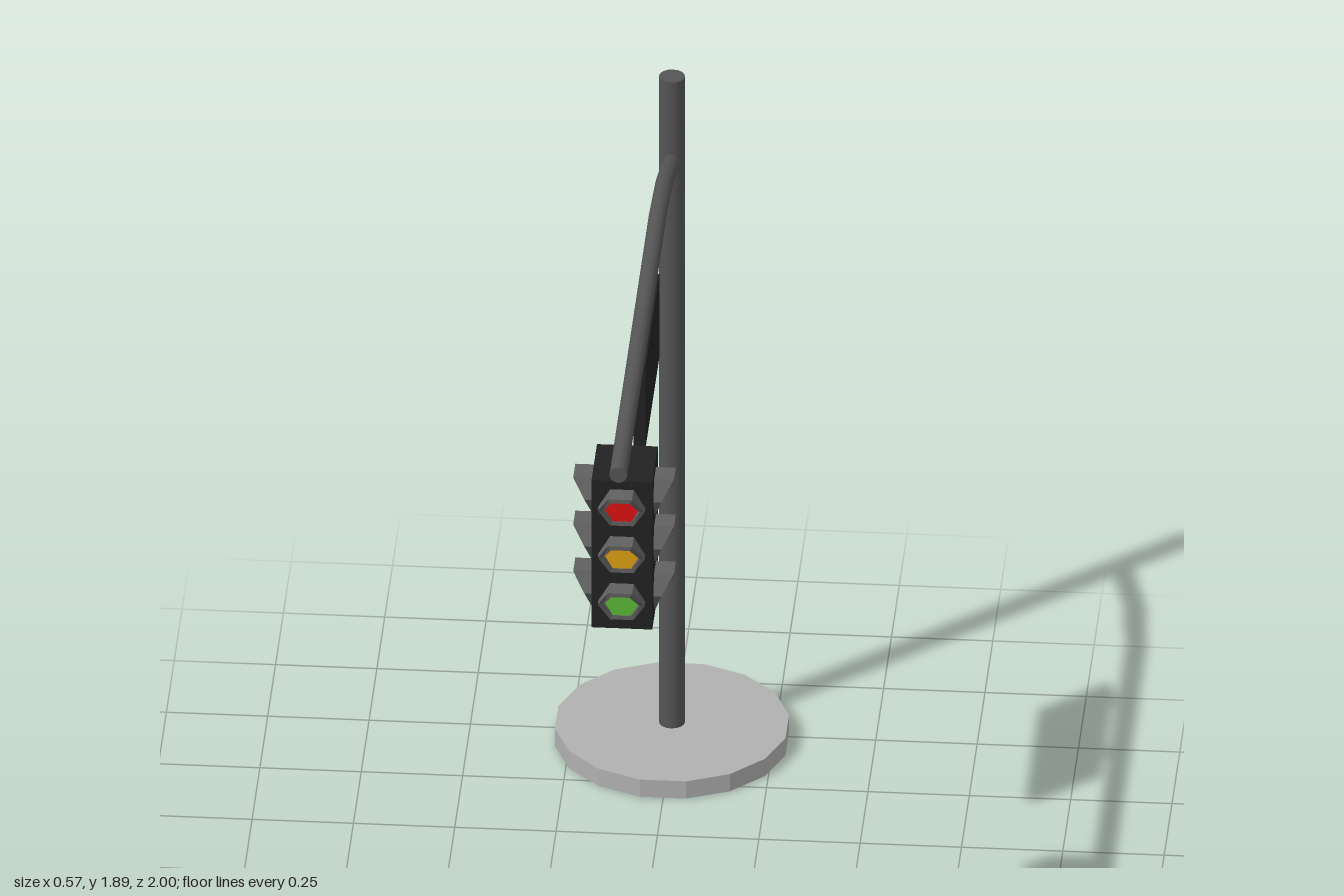
import * as THREE from 'three';

const material = (color, side = THREE.FrontSide) =>
  new THREE.MeshStandardMaterial({ color, side });
const flat = (color, side) => {
  const m = material(color, side);
  m.flatShading = true;
  return m;
};

// Piecewise-straight curve whose samples fall exactly on the corner points
class Polyline extends THREE.Curve {
  constructor(points) { super(); this.points = points; }
  getPoint(t, target = new THREE.Vector3()) {
    const n = this.points.length - 1;
    const i = Math.min(Math.floor(t * n), n - 1);
    return target.lerpVectors(this.points[i], this.points[i + 1], t * n - i);
  }
  getPointAt(t, target) { return this.getPoint(t, target); }
  getTangentAt(t, target) { return this.getTangent(t, target); }
}

// Hexagonal rim whose upper half reaches forward as a visor
function visorGeometry() {
  const outer = 0.058, inner = 0.045;
  const depth = [0.02, 0.049, 0.049, 0.02, 0.005, 0.005];
  const pos = [];
  const corner = (i, r, z) => {
    const a = (i % 6) * Math.PI / 3;
    return [r * Math.cos(a), r * Math.sin(a), z];
  };
  const quad = (a, b, c, d) => pos.push(...a, ...b, ...c, ...a, ...c, ...d);
  for (let i = 0; i < 6; i++) {
    const j = i + 1, zi = depth[i], zj = depth[j % 6];
    const oi = corner(i, outer, zi), oj = corner(j, outer, zj);
    const ii = corner(i, inner, zi), ij = corner(j, inner, zj);
    quad(corner(i, outer, 0), corner(j, outer, 0), oj, oi); // outside
    quad(oi, oj, ij, ii);                                   // front lip
    quad(ii, ij, corner(j, inner, 0), corner(i, inner, 0)); // inside
  }
  const g = new THREE.BufferGeometry();
  g.setAttribute('position', new THREE.Float32BufferAttribute(pos, 3));
  g.computeVertexNormals();
  return g;
}

export function createModel() {
  const model = new THREE.Group();
  model.name = 'trafficLight';
  const poleGrey = material(0x555555);
  const black = material(0x222222);
  const visorGrey = flat(0x606060, THREE.DoubleSide);
  const poleZ = -0.715;

  const add = (parent, name, geometry, mat, x = 0, y = 0, z = 0) => {
    const mesh = new THREE.Mesh(geometry, mat);
    mesh.name = name;
    mesh.position.set(x, y, z);
    parent.add(mesh);
    return mesh;
  };

  // Round foot and upright pole
  const foot = new THREE.CylinderGeometry(0.29, 0.29, 0.049, 16).rotateY(Math.PI / 16);
  add(model, 'base', foot, flat(0xb0b0b0), 0, 0.0255, poleZ);
  add(model, 'pole', new THREE.CylinderGeometry(0.032, 0.032, 1.895, 16), poleGrey, 0, 0.9475, poleZ);

  // Overhanging arm, bent down where it meets the pole
  const armPath = new Polyline([
    new THREE.Vector3(0, 1.765, 1),
    new THREE.Vector3(0, 1.765, -0.265),
    new THREE.Vector3(0, 1.733, -0.48),
    new THREE.Vector3(0, 1.657, -0.71),
  ]);
  add(model, 'arm', new THREE.TubeGeometry(armPath, 3, 0.022, 12), poleGrey);
  add(model, 'armEndCap', new THREE.CircleGeometry(0.022, 12), poleGrey, 0, 1.765, 1);

  // Blank sign board on two hangers
  add(model, 'signBoard', new THREE.BoxGeometry(0.03, 0.235, 0.44), black, 0, 1.5625, 0.1);
  const hanger = new THREE.BoxGeometry(0.02, 0.085, 0.02);
  for (const z of [0.225, -0.018]) add(model, 'signHanger', hanger, black, 0, 1.715, z);

  // Signal head with lamps on the front and both sides
  const signal = new THREE.Group();
  signal.name = 'signalHead';
  signal.position.set(0, 1.47, 0.798);
  model.add(signal);
  add(signal, 'signalHousing', new THREE.BoxGeometry(0.15, 0.42, 0.175), black);
  add(signal, 'signalHanger', hanger, black, 0, 0.245, 0);

  const visor = visorGeometry();
  const lens = new THREE.CircleGeometry(0.046, 6);
  const lamps = [
    ['redLens', material(0xdd1111), 0.136],
    ['amberLens', material(0xdda011), 0.002],
    ['greenLens', material(0x5cb836), -0.132],
  ];
  const faces = [['front', 0, 0.0875], ['left', Math.PI / 2, 0.075], ['right', -Math.PI / 2, 0.075]];
  for (const [side, angle, distance] of faces) {
    const face = new THREE.Group();
    face.name = side + 'Lamps';
    face.rotation.y = angle;
    signal.add(face);
    for (const [name, mat, y] of lamps) {
      add(face, name, lens, mat, 0, y, distance + 0.003);
      add(face, 'visor', visor, visorGrey, 0, y, distance);
    }
  }
  return model;
}
